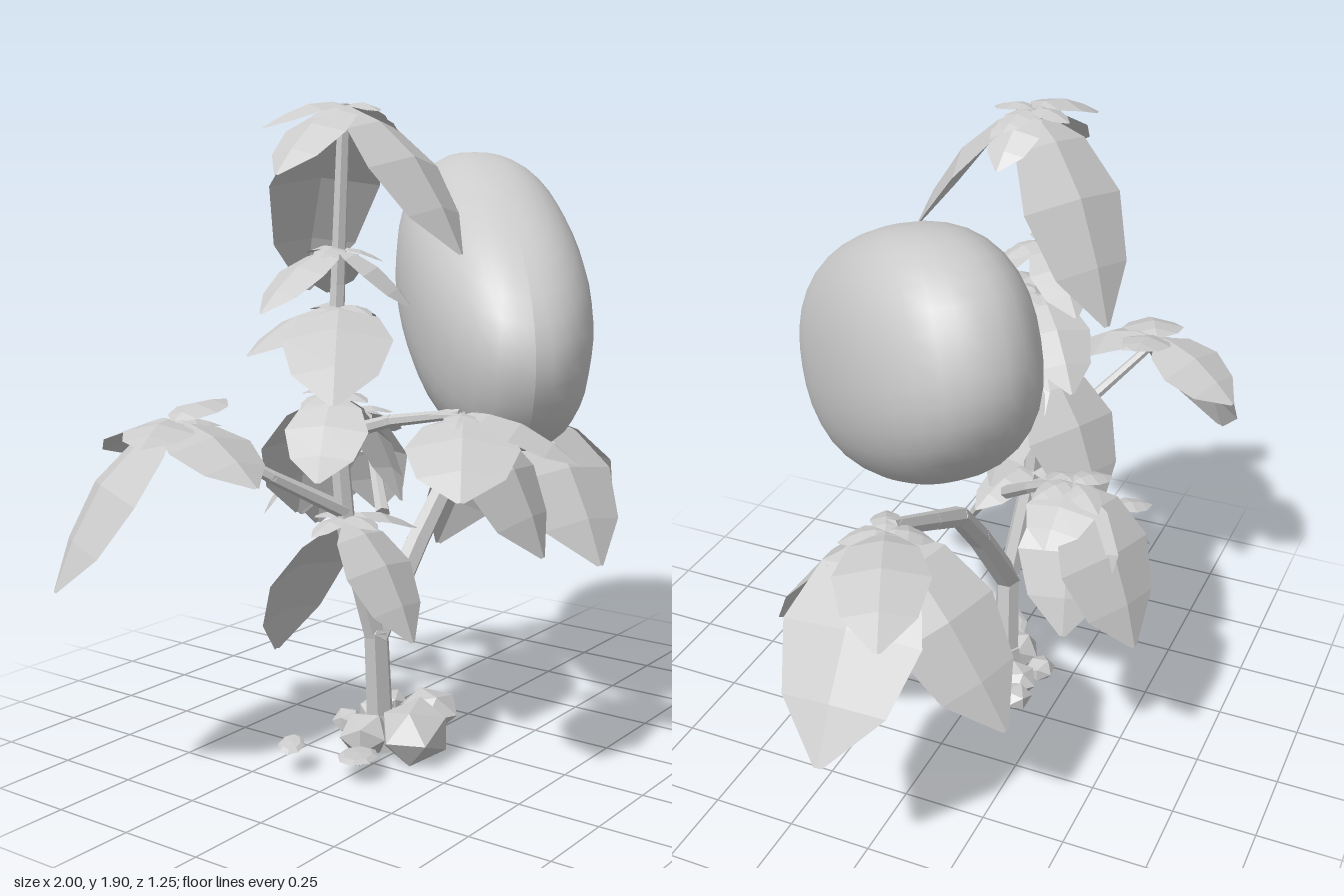
import * as THREE from 'three';

const V = (a) => new THREE.Vector3(a[0], a[1], a[2]);
const leafMat = new THREE.MeshStandardMaterial({ color: 0xcccccc, flatShading: true, side: THREE.DoubleSide });
const woodMat = new THREE.MeshStandardMaterial({ color: 0xcccccc, flatShading: true });
const smoothMat = new THREE.MeshStandardMaterial({ color: 0xcccccc });

function add(parent, geometry, material, name) {
  const mesh = new THREE.Mesh(geometry, material);
  mesh.name = name;
  parent.add(mesh);
  return mesh;
}

// Faceted leaf: cross-sections of edge, midrib, edge along an arched line, rolled about its length
function leafGeometry(base, tip, width, roll = 0) {
  const along = tip.clone().sub(base);
  const length = along.length();
  const dir = along.clone().normalize();
  const side = new THREE.Vector3().crossVectors(dir, new THREE.Vector3(0, 1, 0)).normalize().applyAxisAngle(dir, roll);
  const normal = new THREE.Vector3().crossVectors(side, dir);
  const sections = [[0, 0.08], [0.18, 0.72], [0.45, 1], [0.75, 0.75], [1, 0.06]];
  const pos = [], index = [];
  sections.forEach(([t, w], i) => {
    const arch = Math.sin(Math.PI * Math.pow(t, 0.8)) * length * 0.12;
    for (const s of [-1, 0, 1]) {
      const p = base.clone().addScaledVector(along, t)
        .addScaledVector(side, s * w * width / 2)
        .addScaledVector(normal, arch - Math.abs(s) * w * width * 0.12);
      pos.push(p.x, p.y, p.z);
    }
    if (i === 0) return;
    for (let j = 0; j < 2; j++) {
      const a = (i - 1) * 3 + j, b = a + 3;
      index.push(a, a + 1, b, a + 1, b + 1, b);
    }
  });
  const g = new THREE.BufferGeometry();
  g.setAttribute('position', new THREE.Float32BufferAttribute(pos, 3));
  g.setIndex(index);
  const flat = g.toNonIndexed();
  flat.computeVertexNormals();
  return flat;
}

// Large leaves [x, y, z of tip, width, roll] plus a ring of small crown leaves
function leafCluster(parent, name, centre, tips, crown = 4) {
  const group = new THREE.Group();
  group.name = name;
  parent.add(group);
  const c = V(centre);
  tips.forEach((t) => add(group, leafGeometry(c, V(t), t[3], t[4]), leafMat, 'leaf'));
  for (let i = 0; i < crown; i++) {
    const a = (i / crown) * Math.PI * 2 + centre[0] * 5;
    const tip = c.clone().add(new THREE.Vector3(Math.cos(a) * 0.13, -0.015 - 0.02 * (i % 2), Math.sin(a) * 0.13));
    add(group, leafGeometry(c, tip, 0.09), leafMat, 'crownLeaf');
  }
}

// Tapered six-sided limb along a list of points
function limb(parent, name, points, r0, r1) {
  const group = new THREE.Group();
  group.name = name;
  parent.add(group);
  const n = points.length - 1;
  for (let i = 0; i < n; i++) {
    const a = V(points[i]), b = V(points[i + 1]);
    const d = b.clone().sub(a);
    const ra = r0 + (r1 - r0) * i / n, rb = r0 + (r1 - r0) * (i + 1) / n;
    const seg = add(group, new THREE.CylinderGeometry(rb, ra, d.length() + 0.015, 6), woodMat, 'limbSegment');
    seg.position.copy(a).add(b).multiplyScalar(0.5);
    seg.quaternion.setFromUnitVectors(new THREE.Vector3(0, 1, 0), d.normalize());
  }
}

export function createModel() {
  const model = new THREE.Group();
  model.name = 'fruitingPlant';

  // Huge tilted fruit, fuller than an ellipsoid, slightly slimmer at its low end
  const fruitGeo = new THREE.SphereGeometry(1, 32, 20);
  const p = fruitGeo.attributes.position;
  const e = 2.35;
  for (let i = 0; i < p.count; i++) {
    const v = new THREE.Vector3().fromBufferAttribute(p, i);
    v.multiplyScalar(Math.pow(Math.abs(v.x) ** e + Math.abs(v.y) ** e + Math.abs(v.z) ** e, -1 / e));
    const taper = 1 + 0.04 * v.x;
    p.setXYZ(i, v.x * 0.6, v.y * 0.347 * taper, v.z * 0.265 * taper);
  }
  const fx = new THREE.Vector3(0.642, 0.418, -0.642).normalize();
  const fz = new THREE.Vector3().crossVectors(fx, new THREE.Vector3(0, 1, 0)).normalize();
  const fy = new THREE.Vector3().crossVectors(fz, fx);
  fruitGeo.applyMatrix4(new THREE.Matrix4().makeBasis(fx, fy, fz));
  fruitGeo.computeVertexNormals();
  add(model, fruitGeo, smoothMat, 'fruit').position.set(0.25, 1.337, 0.075);

  // Stem and branches
  limb(model, 'trunk', [[-0.15, 0.08, -0.05], [-0.18, 0.38, -0.04]], 0.042, 0.038);
  limb(model, 'mainStem', [[-0.18, 0.36, -0.04], [-0.27, 0.72, -0.08], [-0.29, 1.1, -0.1], [-0.27, 1.4, -0.1], [-0.26, 1.89, -0.08]], 0.034, 0.018);
  limb(model, 'rightBranch', [[-0.18, 0.37, -0.04], [0.0, 0.62, -0.02], [0.13, 0.77, -0.01], [0.28, 0.84, 0], [0.5, 0.94, 0.02]], 0.04, 0.024);
  limb(model, 'leftBranch', [[-0.28, 0.76, -0.08], [-0.48, 0.88, -0.17], [-0.7, 1.04, -0.33]], 0.024, 0.013);
  limb(model, 'backBranch', [[-0.12, 0.73, -0.06], [0, 0.84, -0.18], [0.12, 0.96, -0.34]], 0.022, 0.013);
  limb(model, 'backTwig', [[0.04, 0.87, -0.23], [-0.05, 0.8, -0.42]], 0.014, 0.01);
  limb(model, 'frontBranch', [[-0.29, 0.98, -0.09], [-0.3, 1.04, 0.1], [-0.29, 1.08, 0.32]], 0.022, 0.013);
  limb(model, 'rootStump', [[-0.15, 0.02, -0.05], [-0.15, 0.12, -0.05]], 0.06, 0.045);

  // Leaf clusters
  leafCluster(model, 'topLeaves', [-0.26, 1.89, -0.06], [
    [-0.23, 1.5, 0.29, 0.36], [-0.08, 1.36, -0.37, 0.34], [-0.55, 1.71, -0.08, 0.22],
    [-0.06, 1.77, -0.04, 0.15], [-0.5, 1.83, -0.17, 0.16]]);
  leafCluster(model, 'upperLeaves', [-0.27, 1.5, -0.1], [
    [-0.53, 1.34, -0.16, 0.2], [-0.19, 1.34, 0.1, 0.2], [-0.1, 1.36, -0.27, 0.18]], 3);
  leafCluster(model, 'middleLeaves', [-0.27, 1.34, -0.09], [
    [-0.66, 1.14, 0.19, 0.3], [-0.06, 1.14, -0.28, 0.22], [-0.52, 1.22, -0.22, 0.24]]);
  leafCluster(model, 'frontLeaves', [-0.29, 1.08, 0.34], [
    [-0.27, 0.72, 0.58, 0.38], [-0.59, 0.92, 0.53, 0.3], [-0.18, 0.96, 0.63, 0.25]], 3);
  leafCluster(model, 'stemLeaves', [-0.29, 1.1, -0.1], [
    [-0.17, 0.7, -0.34, 0.34], [-0.08, 0.76, -0.02, 0.22], [-0.47, 0.88, -0.02, 0.24]]);
  leafCluster(model, 'lowerLeaves', [-0.28, 0.74, -0.07], [
    [-0.3, 0.42, 0.18, 0.27], [-0.28, 0.3, -0.34, 0.35], [-0.06, 0.68, 0.02, 0.15]]);
  leafCluster(model, 'leftLeaves', [-0.7, 1.05, -0.33], [
    [-1.0, 0.62, -0.49, 0.38], [-0.6, 0.92, -0.62, 0.28], [-0.75, 0.92, 0.01, 0.27],
    [-0.91, 1.02, -0.24, 0.2], [-0.5, 1.09, -0.32, 0.16]], 3);
  leafCluster(model, 'rightLeaves', [0.54, 0.95, 0.02], [
    [1.0, 0.5, 0.0, 0.4], [0.95, 0.88, -0.16, 0.26], [0.43, 0.51, 0.37, 0.42], [0.6, 0.44, -0.36, 0.32, 0.5]], 4);
  leafCluster(model, 'backLeaves', [0.13, 0.97, -0.36], [
    [0.24, 0.55, -0.6, 0.34], [0.34, 0.6, -0.42, 0.28], [0.34, 0.87, -0.36, 0.2]]);
  leafCluster(model, 'backTwigLeaves', [-0.05, 0.8, -0.42], [
    [-0.12, 0.66, -0.52, 0.12], [0.04, 0.63, -0.5, 0.13], [-0.14, 0.72, -0.38, 0.1]], 3);

  // Stones round the foot: position, half sizes, turn
  [
    [-0.14, 0.085, 0.07, 0.14, 0.095, 0.11, 0.4],
    [0.03, 0.085, 0.0, 0.1, 0.065, 0.1, 1.1],
    [-0.21, 0.07, -0.06, 0.08, 0.07, 0.08, 2.0],
    [-0.06, 0.08, -0.13, 0.07, 0.05, 0.06, 0.8],
    [-0.15, 0.07, -0.17, 0.05, 0.04, 0.05, 1.7],
    [0.03, 0.08, -0.15, 0.06, 0.04, 0.06, 2.6],
  ].forEach(([x, y, z, a, b, c, turn]) => {
    const stone = add(model, new THREE.IcosahedronGeometry(1, 0), woodMat, 'stone');
    stone.position.set(x, y, z);
    stone.scale.set(a, b, c);
    stone.rotation.y = turn;
  });

  // Fallen leaves on the ground
  [[-0.43, 0.085, -0.16, 0.055, 0.2], [-0.35, 0.065, 0.02, 0.085, -0.05]].forEach(([x, y, z, r, tilt]) => {
    const leaf = add(model, new THREE.SphereGeometry(1, 8, 4), woodMat, 'fallenLeaf');
    leaf.position.set(x, y, z);
    leaf.scale.set(r, 0.012, r * 0.7);
    leaf.rotation.set(0, 0.5, tilt);
  });

  return model;
}
